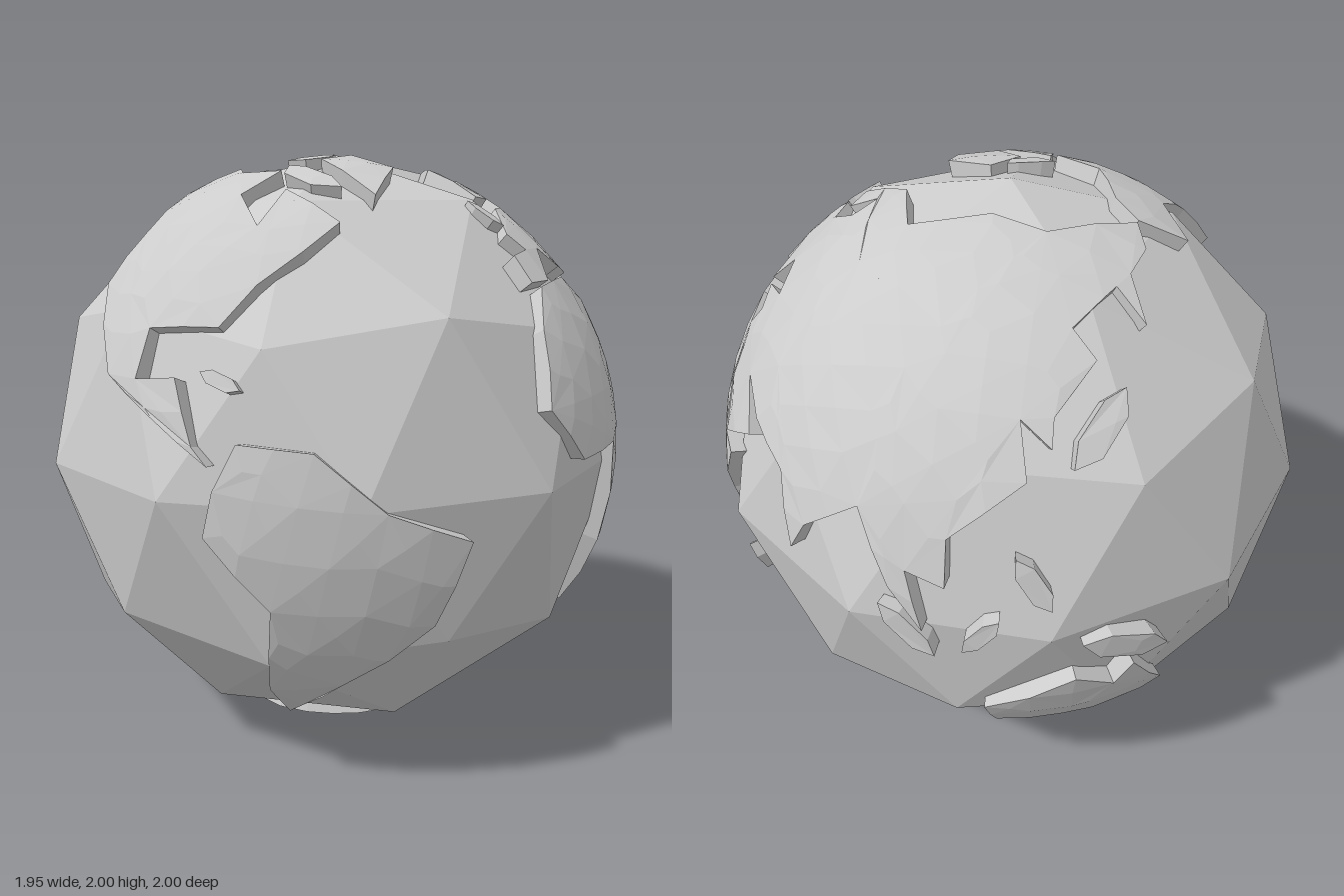
import * as THREE from 'three';

const LAND_R = 1.003, BASE_R = 0.9, MAX_EDGE = 0.2;

// Coarse coastlines as [longitude, latitude] pairs in degrees
const LANDS = {
  africa: [[-6, 36], [10, 37], [20, 31], [33, 31], [43, 12], [51, 12], [39, -6], [35, -23], [27, -34], [19, -34],
    [12, -17], [9, 4], [-8, 4], [-17, 14], [-13, 28]],
  europeAndNearEast: [[-9, 37], [-9, 43], [-1, 44], [-4, 48], [9, 55], [20, 55], [28, 60], [23, 65], [17, 58],
    [6, 59], [24, 71], [60, 69], [60, 25], [50, 29], [59, 21], [45, 13], [33, 31], [36, 36], [28, 38], [40, 42],
    [30, 46], [23, 37], [13, 45], [16, 39], [8, 44], [-1, 37]],
  asia: [[60, 69], [73, 73], [104, 78], [140, 73], [190, 66], [178, 62], [163, 60], [157, 51], [155, 59], [136, 54],
    [140, 48], [128, 40], [127, 35], [121, 40], [122, 30], [108, 20], [108, 11], [101, 13], [104, 1], [98, 9],
    [91, 22], [80, 14], [77, 8], [72, 21], [60, 25]],
  northAmerica: [[-168, 66], [-156, 71], [-115, 69], [-88, 70], [-94, 60], [-80, 51], [-77, 62], [-57, 52], [-66, 45],
    [-75, 38], [-81, 30], [-97, 29], [-97, 20], [-88, 21], [-83, 10], [-80, 7], [-92, 14], [-105, 20], [-122, 36],
    [-124, 48], [-140, 60], [-160, 56]],
  southAmerica: [[-75, 11], [-62, 10], [-50, 0], [-35, -6], [-40, -22], [-57, -37], [-67, -46], [-72, -51],
    [-74, -40], [-70, -18], [-81, -5], [-79, 3]],
  australia: [[114, -23], [131, -12], [139, -17], [142, -11], [153, -26], [148, -38], [131, -32], [116, -35]],
  greenland: [[-70, 78], [-30, 83], [-20, 72], [-44, 60], [-54, 70]],
};

// Islands: longitude, latitude, half length and tilt in degrees
const ISLANDS = [
  [-72, 68, 8, -40], [-78, 80, 5, 40], [-3, 54, 4, 110], [47, -19, 6, 70], [138, 37, 8, 45],
  [101, 0, 7, -45], [114, 1, 5, 50], [123, 12, 6, -60], [140, -5, 9, -20], [-79, 21, 4, -20],
];

const { degToRad } = THREE.MathUtils;

function onSphere([lon, lat]) {
  return new THREE.Vector3(1, 0, 0).applyEuler(new THREE.Euler(0, degToRad(lon), degToRad(lat), 'YXZ'));
}

// Six-sided island outline
function islandCoast([lon, lat, size, tilt]) {
  return Array.from({ length: 6 }, (_, i) => {
    const p = new THREE.Vector2(size, 0).rotateAround(new THREE.Vector2(), i * Math.PI / 3);
    p.y *= 0.35;
    p.rotateAround(new THREE.Vector2(), degToRad(tilt));
    return [lon + p.x / Math.cos(degToRad(lat)), lat + p.y];
  });
}

// Polar land: a wavy ring, wider towards the east
function polarCoast() {
  return Array.from({ length: 18 }, (_, i) => {
    const a = i * Math.PI / 9;
    return [i * 20, -71 + 2.5 * Math.sin(a) + 1.5 * Math.cos(3 * a)];
  });
}

// Raised plate with a curved top and radial walls
function landGeometry(coast) {
  const points = [];
  coast.forEach((pair, i) => {
    const a = onSphere(pair), b = onSphere(coast[(i + 1) % coast.length]);
    const n = Math.ceil(a.distanceTo(b) / MAX_EDGE);
    for (let k = 0; k < n; k++) points.push(a.clone().lerp(b, k / n).normalize());
  });

  // Flatten around the middle of the land
  const middle = points.reduce((s, p) => s.add(p), new THREE.Vector3()).normalize();
  const turn = new THREE.Quaternion().setFromUnitVectors(new THREE.Vector3(0, 0, 1), middle);
  const back = turn.clone().invert();
  const flat = points.map((p) => {
    const q = p.clone().applyQuaternion(back);
    return new THREE.Vector2(q.x / (1 + q.z), q.y / (1 + q.z));
  });
  if (THREE.ShapeUtils.isClockWise(flat)) flat.reverse();
  const lift = (p, r) => {
    const s = p.lengthSq();
    return new THREE.Vector3(2 * p.x, 2 * p.y, 1 - s).multiplyScalar(r / (1 + s)).applyQuaternion(turn);
  };

  const out = [];
  const face = (...corners) => corners.forEach((c) => out.push(c.x, c.y, c.z));

  // Top: halve the longest edge until the pieces follow the sphere
  const addTop = (t) => {
    const v = t.map((p) => lift(p, LAND_R));
    const len = v.map((p, i) => p.distanceTo(v[(i + 1) % 3]));
    const i = len.indexOf(Math.max(...len));
    if (len[i] <= MAX_EDGE * 1.05) {
      face(...v);
      return;
    }
    const a = t[i], b = t[(i + 1) % 3], c = t[(i + 2) % 3];
    const m = a.clone().add(b).multiplyScalar(0.5);
    addTop([a, m, c]);
    addTop([m, b, c]);
  };
  for (const ids of THREE.ShapeUtils.triangulateShape(flat, [])) {
    const t = ids.map((i) => flat[i]);
    if (THREE.ShapeUtils.area(t) < 0) t.reverse();
    addTop(t);
  }

  // Walls down into the ocean ball
  flat.forEach((p, i) => {
    const q = flat[(i + 1) % flat.length];
    const a = lift(p, BASE_R), b = lift(q, BASE_R), c = lift(q, LAND_R), d = lift(p, LAND_R);
    face(a, b, c);
    face(a, c, d);
  });

  const geometry = new THREE.BufferGeometry();
  geometry.setAttribute('position', new THREE.Float32BufferAttribute(out, 3));
  geometry.computeVertexNormals();
  return geometry;
}

export function createModel() {
  const globe = new THREE.Group();
  globe.name = 'globe';
  const material = new THREE.MeshStandardMaterial({ color: 0xcccccc, flatShading: true });
  const add = (geometry, name, parent = globe) => {
    const mesh = new THREE.Mesh(geometry, material);
    mesh.name = name;
    mesh.position.set(-0.02, 1, 0.005);
    parent.add(mesh);
  };

  // Faceted ocean with a corner at each pole
  const ocean = new THREE.IcosahedronGeometry(1, 1);
  ocean.rotateZ(-Math.atan2(2, 1 + Math.sqrt(5)));
  add(ocean, 'ocean');

  for (const [name, coast] of Object.entries(LANDS)) add(landGeometry(coast), name);
  add(landGeometry(polarCoast()), 'antarctica');

  const islands = new THREE.Group();
  islands.name = 'islands';
  ISLANDS.forEach((spec, i) => add(landGeometry(islandCoast(spec)), `island${i + 1}`, islands));
  globe.add(islands);
  return globe;
}
